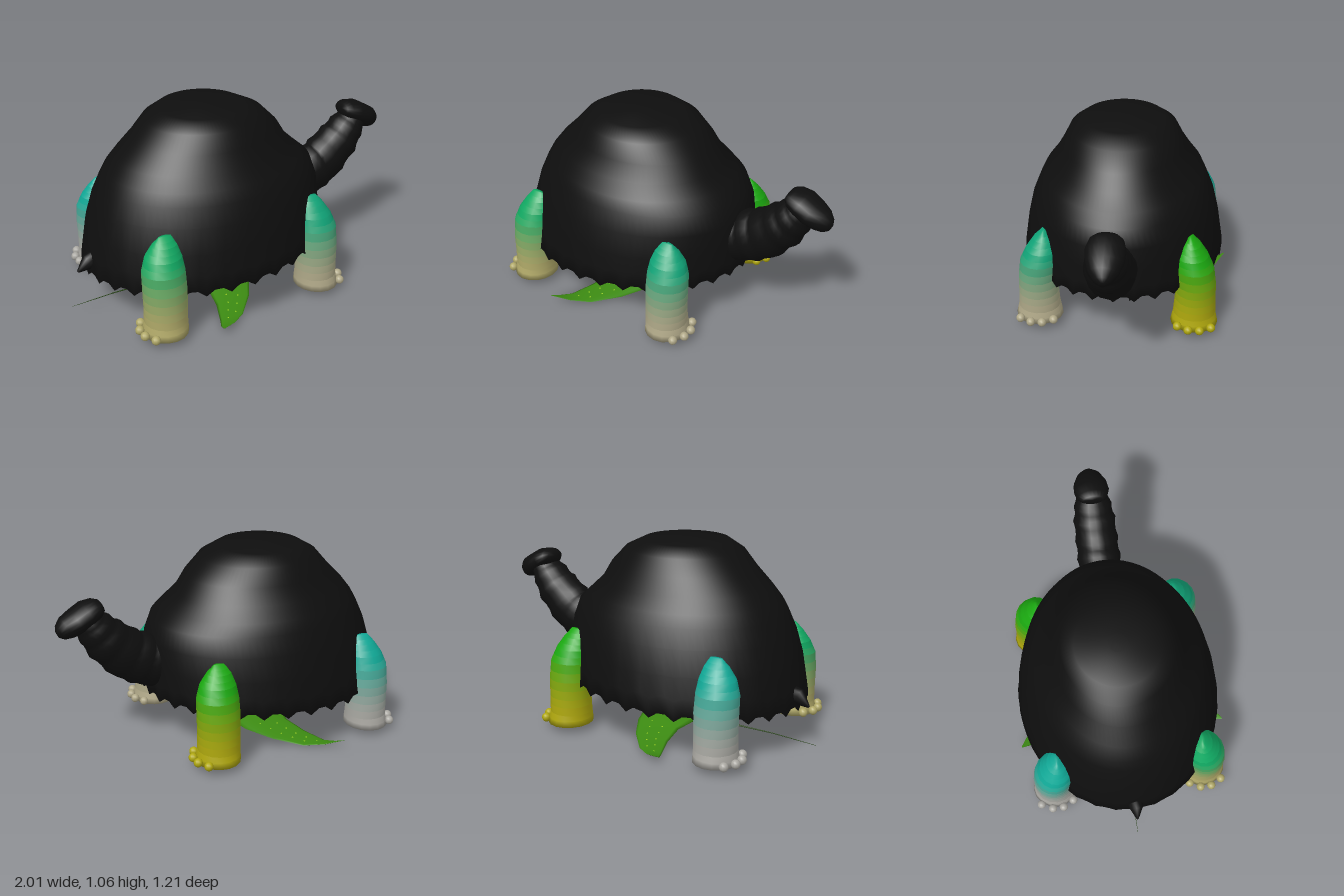
import * as THREE from 'three';

const BLACK = 0x0e0e0e;
const V = (x, y, z) => new THREE.Vector3(x, y, z);

function add(parent, geometry, color, name) {
  const material = new THREE.MeshStandardMaterial({ color, side: THREE.DoubleSide });
  const mesh = new THREE.Mesh(geometry, material);
  mesh.name = name;
  parent.add(mesh);
  return mesh;
}

// Skin a list of closed rings, with optional end caps; faces are turned outward
function loft(rings, capStart = true, capEnd = true) {
  const n = rings[0].length, pos = [], index = [];
  const centers = rings.map(r => r.reduce((s, p) => s.add(p), V(0, 0, 0)).divideScalar(n));
  rings.forEach(r => r.forEach(p => pos.push(p.x, p.y, p.z)));
  let outward = 0;
  for (let i = 0; i < rings.length - 1; i++) for (let j = 0; j < n; j++) {
    const k = (j + 1) % n, a = i * n + j, b = i * n + k, c = a + n, d = b + n;
    index.push(a, c, b, b, c, d);
    const e1 = rings[i + 1][j].clone().sub(rings[i][j]);
    const e2 = rings[i][k].clone().sub(rings[i][j]);
    outward += e1.cross(e2).dot(rings[i][j].clone().sub(centers[i]));
  }
  const cap = (r, end) => {
    const c = pos.length / 3, o = r * n;
    pos.push(centers[r].x, centers[r].y, centers[r].z);
    for (let j = 0; j < n; j++) {
      const a = o + j, b = o + (j + 1) % n;
      end ? index.push(a, c, b) : index.push(a, b, c);
    }
  };
  if (capStart) cap(0, false);
  if (capEnd) cap(rings.length - 1, true);
  if (outward < 0) index.reverse();
  const g = new THREE.BufferGeometry();
  g.setAttribute('position', new THREE.Float32BufferAttribute(pos, 3));
  g.setIndex(index);
  g.computeVertexNormals();
  return g;
}

// Tube along a path in the xy plane; stations are [x, y, radius, zRadius]
function limb(stations, n = 14, z = 0) {
  return loft(stations.map(([x, y, r, rz = r], i) => {
    const p = stations[Math.max(i - 1, 0)], q = stations[Math.min(i + 1, stations.length - 1)];
    const t = V(q[0] - p[0], q[1] - p[1], 0).normalize();
    return Array.from({ length: n }, (_, j) => {
      const a = j / n * Math.PI * 2, c = Math.cos(a) * r;
      return V(x - t.y * c, y + t.x * c, z + Math.sin(a) * rz);
    });
  }));
}

// Smoothly resample a list of stations
function resample(st, count) {
  return Array.from({ length: count }, (_, i) => {
    const u = i / (count - 1) * (st.length - 1), k = Math.min(Math.floor(u), st.length - 2);
    return st[k].map((v, m) => THREE.MathUtils.lerp(v, st[k + 1][m], u - k));
  });
}

// Domed shell with a scalloped rim, closed below by a shallow belly
function shell() {
  const N = 96;
  // [y, back x, front x, half width, rim weight]
  const st = [
    [1.072, -0.24, -0.14, 0.05, 0], [1.063, -0.42, 0.05, 0.23, 0], [1.01, -0.51, 0.16, 0.30, 0],
    [0.92, -0.59, 0.25, 0.345, 0], [0.83, -0.68, 0.305, 0.395, 0], [0.76, -0.735, 0.38, 0.45, 0],
    [0.70, -0.77, 0.45, 0.48, 0], [0.60, -0.815, 0.485, 0.52, 0], [0.47, -0.855, 0.495, 0.55, 0.2],
    [0.36, -0.875, 0.50, 0.567, 0.6], [0.275, -0.89, 0.50, 0.58, 1], [0.29, -0.85, 0.46, 0.53, 0.7],
    [0.255, -0.60, 0.25, 0.33, 0.3], [0.24, -0.30, -0.05, 0.1, 0]];
  return loft(st.map(([y, x0, x1, w, rim]) => Array.from({ length: N }, (_, j) => {
    const a = j / N * Math.PI * 2, c = Math.cos(a);
    const tooth = j % 3 === 0 ? -0.025 : 0.008;
    return V((x0 + x1) / 2 + c * (x1 - x0) / 2, y + rim * (tooth + 0.03 * c), w * Math.sin(a));
  })));
}

// Leg in colour bands from foot to shoulder, with four round toes
function leg(sx, sz, low, high) {
  const g = new THREE.Group();
  g.name = (sx > 0 ? 'front' : 'back') + (sz > 0 ? 'Right' : 'Left') + 'Leg';
  // [y, x, z, xRadius, zRadius], x measured from the middle of the body
  const st = resample([
    [0.045, 0.475, 0.435, 0.122, 0.132], [0.11, 0.47, 0.435, 0.115, 0.118],
    [0.20, 0.47, 0.437, 0.115, 0.113], [0.30, 0.47, 0.437, 0.118, 0.110],
    [0.40, 0.47, 0.425, 0.115, 0.108], [0.47, 0.46, 0.41, 0.10, 0.09],
    [0.53, 0.45, 0.403, 0.07, 0.055], [0.575, 0.445, 0.40, 0.035, 0.012]], 15);
  const rings = st.map(([y, x, z, rx, rz]) => Array.from({ length: 16 }, (_, j) => {
    const a = j / 16 * Math.PI * 2;
    return V(-0.18 + sx * (x + rx * Math.cos(a)), y, sz * (z + rz * Math.sin(a)));
  }));
  const lowColor = new THREE.Color(low), highColor = new THREE.Color(high);
  for (let i = 0; i < 14; i++) {
    const t = THREE.MathUtils.smoothstep((st[i][0] + st[i + 1][0]) / 2, 0.1, 0.46);
    add(g, loft([rings[i], rings[i + 1]], i === 0, i === 13), lowColor.clone().lerp(highColor, t), 'legBand');
  }
  [[0.575, 0.345], [0.607, 0.405], [0.607, 0.468], [0.575, 0.53]].forEach(([x, z]) => {
    add(g, new THREE.SphereGeometry(0.025, 10, 7), low, 'toe').position.set(-0.18 + sx * x, 0.067, sz * z);
  });
  return g;
}

// Flat ray with swept wings resting under the belly
function ray() {
  const g = new THREE.Group();
  g.name = 'ray';
  add(g, limb([[-0.38, 0.035, 0.01, 0.02], [-0.28, 0.052, 0.032, 0.07], [-0.17, 0.06, 0.05, 0.11],
    [-0.06, 0.06, 0.046, 0.11], [0.03, 0.04, 0.027, 0.085], [0.07, 0.03, 0.008, 0.05]], 20), BLACK, 'rayBody');
  add(g, limb([[-0.34, 0.038, 0.014], [-0.45, 0.05, 0.009], [-0.52, 0.055, 0.005]], 8), 0x2f7a12, 'rayTailBase');
  add(g, limb([[-0.5, 0.055, 0.005], [-0.75, 0.06, 0.003], [-1, 0.052, 0.001]], 6), 0x22400e, 'rayTail');
  // [z, leading x, trailing x, y, half thickness]
  const st = [[0.07, 0.04, -0.3, 0.055, 0.03], [0.2, 0.0, -0.27, 0.037, 0.014], [0.35, -0.09, -0.3, 0.024, 0.009],
    [0.48, -0.21, -0.35, 0.014, 0.006], [0.55, -0.3, -0.385, 0.032, 0.004], [0.605, -0.39, -0.4, 0.06, 0.001]];
  for (const s of [1, -1]) {
    add(g, loft(st.map(([z, a, b, y, t]) => Array.from({ length: 12 }, (_, j) => {
      const u = j / 12 * Math.PI * 2;
      return V((a + b) / 2 + Math.cos(u) * (a - b) / 2, y + Math.sin(u) * t, s * z);
    }))), 0x3c8a12, 'rayWing');
    add(g, limb([[0.03, 0.035, 0.014], [0.08, 0.03, 0.01], [0.12, 0.032, 0.008, 0.004]], 8, s * 0.06), BLACK, 'rayHorn');
    // Pale spots on the wing
    for (let i = 0; i < 10; i++) {
      const [z, a, b, y, t] = resample(st.slice(1, 4), 10)[i];
      const dot = add(g, new THREE.SphereGeometry(0.006, 6, 4), 0x9ad020, 'wingSpot');
      dot.position.set(THREE.MathUtils.lerp(a, b, 0.35 + 0.3 * (i % 2)), y + t * 0.85, s * z);
      dot.scale.y = 0.4;
    }
  }
  return g;
}

// Small four-legged figure between the ray and the belly
function smallFigure() {
  const g = new THREE.Group();
  g.name = 'smallFigure';
  add(g, limb([[-0.27, 0.25, 0.006], [-0.23, 0.23, 0.024], [-0.14, 0.228, 0.026],
    [-0.06, 0.225, 0.03], [-0.02, 0.25, 0.008]], 10), BLACK, 'smallBody');
  for (const s of [1, -1]) {
    const color = s > 0 ? 0x40b088 : 0x58b020;
    add(g, limb([[-0.215, 0.23, 0.016], [-0.198, 0.165, 0.01], [-0.235, 0.1, 0.007]], 8, s * 0.017), color, 'smallBackLeg');
    add(g, limb([[-0.07, 0.23, 0.013], [-0.075, 0.165, 0.009], [-0.083, 0.1, 0.007]], 8, s * 0.017), color, 'smallFrontLeg');
  }
  return g;
}

export function createModel() {
  const model = new THREE.Group();
  model.name = 'tortoise';
  add(model, shell(), BLACK, 'shell');

  // Wrinkled neck
  const neck = resample([[0.36, 0.47, 0.14, 0.125], [0.50, 0.49, 0.145, 0.125], [0.62, 0.55, 0.14, 0.122],
    [0.74, 0.66, 0.122, 0.118], [0.81, 0.75, 0.095, 0.1], [0.85, 0.81, 0.06, 0.07]], 21);
  neck.forEach((s, i) => { const k = i % 3 === 0 ? 1.05 : 0.98; s[2] *= k; s[3] *= k; });
  add(model, limb(neck, 20), BLACK, 'neck');

  // Head, blunt behind and tapering to the beak
  add(model, limb([[0.755, 0.85, 0.03, 0.06], [0.78, 0.843, 0.05, 0.085], [0.83, 0.822, 0.066, 0.1],
    [0.89, 0.788, 0.066, 0.096], [0.945, 0.76, 0.062, 0.075], [0.98, 0.738, 0.045, 0.045],
    [0.997, 0.73, 0.02, 0.015]], 20), BLACK, 'head');

  add(model, limb([[-0.82, 0.31, 0.06, 0.055], [-0.89, 0.30, 0.045, 0.04], [-0.95, 0.255, 0.006]], 10), BLACK, 'tail');

  model.add(leg(1, 1, 0xb0a888, 0x10a478), leg(1, -1, 0xb0a80e, 0x1aa810),
    leg(-1, 1, 0xb0a868, 0x10a862), leg(-1, -1, 0xaaa8a2, 0x10a896));
  model.add(ray(), smallFigure());
  return model;
}
